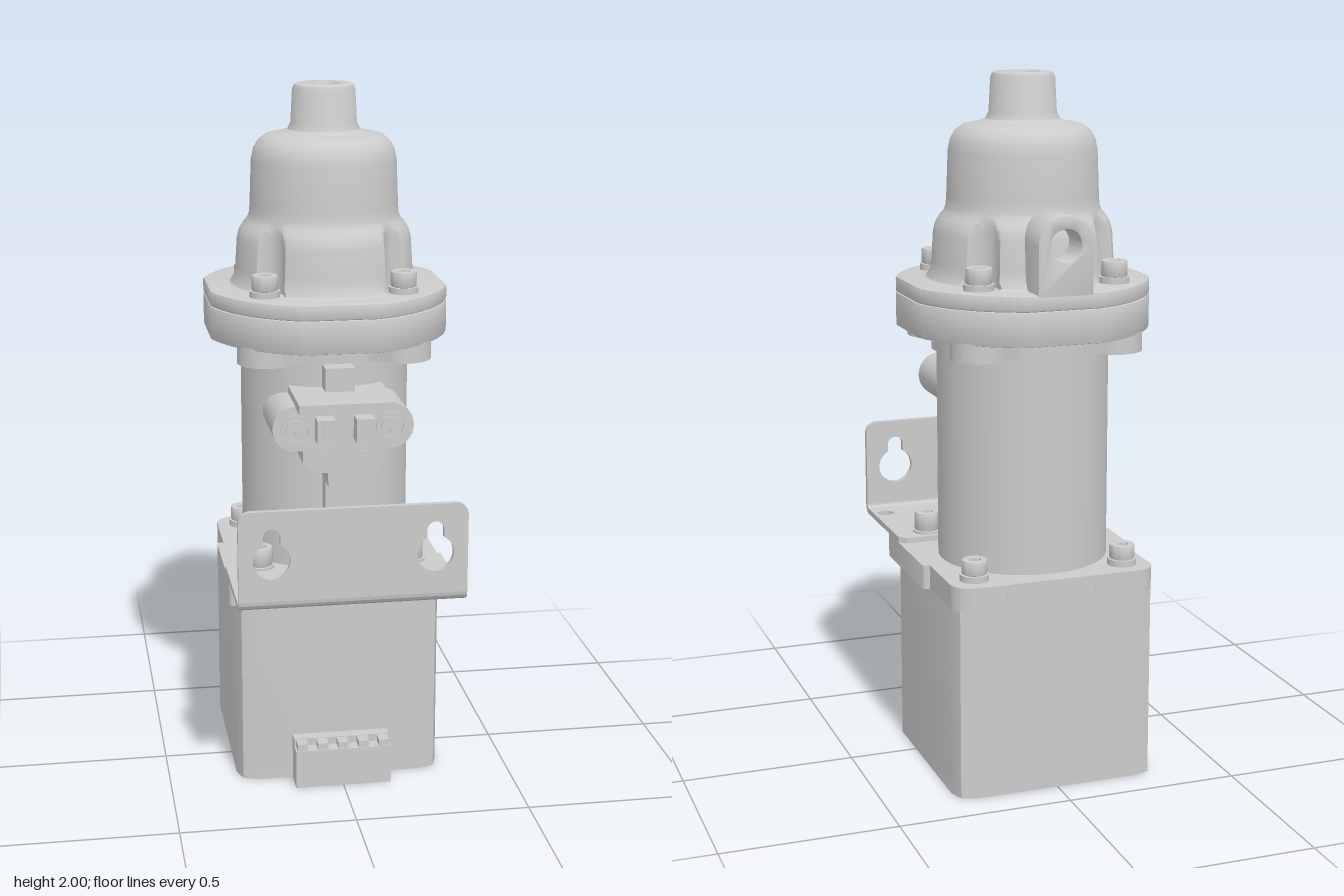
import * as THREE from 'three';
import { toCreasedNormals } from 'three/addons/utils/BufferGeometryUtils.js';

const AXIS_Z = -0.1; // vertical axis shared by motor, body and dome
const BOLT = 0.198; // offset of the dome bolts from the axis
const material = new THREE.MeshStandardMaterial({ color: 0xcccccc, side: THREE.DoubleSide });

export function createModel() {
  const model = new THREE.Group();

  const add = (name, geometry, x = 0, y = 0, z = 0, parent = model) => {
    const mesh = new THREE.Mesh(geometry, material);
    mesh.name = name;
    mesh.position.set(x, y, z);
    parent.add(mesh);
    return mesh;
  };
  // Box given by its limits
  const box = (name, x0, x1, y0, y1, z0, z1) =>
    add(name, new THREE.BoxGeometry(x1 - x0, y1 - y0, z1 - z0), (x0 + x1) / 2, (y0 + y1) / 2, (z0 + z1) / 2);
  const smooth = (g) => toCreasedNormals(g, 0.6);
  const polygon = (pts) => new THREE.Shape(pts.map((p) => new THREE.Vector2(...p)));
  const circle = (x, y, r) => new THREE.Path().absarc(x, y, r, 0, Math.PI * 2, true);
  // Extrusion along +z from 0 to depth, with an optional inset bevel
  const extrude = (shape, depth, b = 0) =>
    smooth(new THREE.ExtrudeGeometry(shape, {
      depth: depth - 2 * b, bevelEnabled: b > 0, bevelSize: b, bevelThickness: b,
      bevelOffset: -b, bevelSegments: 2, curveSegments: 24,
    }).translate(0, 0, b));
  // Horizontal slab: the shape's y becomes z, the slab fills y0..y1
  const slab = (name, shape, y0, y1, b = 0, z = 0) =>
    add(name, extrude(shape, y1 - y0, b).rotateX(Math.PI / 2), 0, y1, z);
  const roundedRect = (x0, x1, y0, y1, r) => {
    const s = new THREE.Shape();
    s.absarc(x1 - r, y1 - r, r, 0, Math.PI / 2);
    s.absarc(x0 + r, y1 - r, r, Math.PI / 2, Math.PI);
    s.absarc(x0 + r, y0 + r, r, Math.PI, Math.PI * 1.5);
    s.absarc(x1 - r, y0 + r, r, Math.PI * 1.5, Math.PI * 2);
    s.closePath();
    return s;
  };
  const corners = (d, fn) => [-1, 1].forEach((i) => [-1, 1].forEach((k) => fn(i * d, k * d + AXIS_Z)));
  const lathe = (pts, n = 48) => smooth(new THREE.LatheGeometry(pts.map((p) => new THREE.Vector2(...p)), n));

  // Socket head bolt standing on a washer
  const bolt = (name, x, y, z, r, h) => {
    const group = new THREE.Group();
    group.name = name;
    group.position.set(x, y, z);
    add('washer', new THREE.CylinderGeometry(r * 1.15, r * 1.15, h * 0.3, 28), 0, h * 0.15, 0, group);
    const head = new THREE.Shape().absarc(0, 0, r, 0, Math.PI * 2);
    head.holes.push(new THREE.Path(Array.from({ length: 6 }, (_, i) =>
      new THREE.Vector2(Math.sin(-i * Math.PI / 3), Math.cos(i * Math.PI / 3)).multiplyScalar(r * 0.52))));
    add('head', extrude(head, h * 0.7, 0.004).rotateX(Math.PI / 2), 0, h, 0, group);
    model.add(group);
  };

  // Motor housing with chamfered corners and screw holes underneath
  const c = 0.24;
  const e = 0.3;
  const motor = polygon([[-c, -e], [c, -e], [0.285, -0.285], [e, -c], [e, c], [0.285, 0.285], [c, e],
    [-c, e], [-0.285, 0.285], [-e, c], [-e, -c], [-0.285, -0.285]]);
  slab('motorHousing', motor, 0.025, 0.55, 0, AXIS_Z);
  const base = motor.clone();
  base.holes = [circle(0, 0, 0.1)];
  [-1, 1].forEach((i) => [-1, 1].forEach((k) => base.holes.push(circle(i * 0.235, k * 0.235, 0.02))));
  slab('motorBase', base, 0, 0.025, 0, AXIS_Z);
  add('bottomHub', lathe([[0, 0.012], [0.035, 0.012], [0.035, 0.003], [0.065, 0.003], [0.065, 0.015],
    [0.08, 0.015], [0.08, 0.006], [0.09, 0.006], [0.09, 0.025]]), 0, 0, AXIS_Z);

  // Plug at the foot of the motor
  box('motorPlug', -0.14, 0.14, 0, 0.115, 0.19, 0.275);
  box('plugBack', -0.14, 0.14, 0.11, 0.137, 0.19, 0.235);
  for (let i = 0; i < 5; i++) box('plugRib', -0.135 + i * 0.06, -0.105 + i * 0.06, 0.11, 0.135, 0.23, 0.272);

  // Mounting plate, wider at the front, with side screws
  slab('mountingPlate', roundedRect(-0.3, 0.3, -0.4, 0.19, 0.06), 0.55, 0.62);
  slab('mountingPlateFront', roundedRect(-0.32, 0.32, -0.155, 0.2, 0.012), 0.55, 0.62);
  for (const x of [-0.13, 0.13]) {
    const along = new THREE.CylinderGeometry(0.022, 0.022, 0.604, 20).rotateX(Math.PI / 2);
    add('plateScrew', along, x, 0.585, AXIS_Z);
  }
  corners(0.222, (x, z) => bolt('plateBolt', x, 0.62, z, 0.036, z > 0 ? 0.08 : 0.06));

  // Angle bracket: foot, bend and upright with keyholes
  const foot = new THREE.Shape();
  foot.moveTo(0.32, 0.09);
  foot.lineTo(0.32, 0.415);
  foot.lineTo(-0.32, 0.415);
  foot.lineTo(-0.32, 0.09);
  foot.lineTo(-0.3, 0.07);
  const a = Math.asin(0.17 / 0.265);
  foot.absarc(0, AXIS_Z, 0.265, Math.PI - a, a, true);
  foot.lineTo(0.3, 0.07);
  foot.holes.push(circle(0.283, 0.35, 0.024), circle(-0.283, 0.35, 0.024));
  slab('bracketFoot', foot, 0.62, 0.637);

  const bend = new THREE.Shape();
  bend.absarc(0, 0, 0.028, 0, Math.PI / 2);
  bend.absarc(0, 0, 0.011, Math.PI / 2, 0, true);
  add('bracketBend', extrude(bend, 0.64).rotateZ(-Math.PI / 2).rotateY(-Math.PI / 2), 0.32, 0.648, 0.414);

  const upright = new THREE.Shape();
  upright.moveTo(-0.32, 0.648);
  upright.lineTo(0.32, 0.648);
  upright.absarc(0.285, 0.873, 0.035, 0, Math.PI / 2);
  upright.absarc(-0.285, 0.873, 0.035, Math.PI / 2, Math.PI);
  for (const x of [-0.228, 0.228]) {
    const key = new THREE.Path();
    const k = Math.acos(0.024 / 0.052);
    key.absarc(x, 0.765, 0.052, k, Math.PI - k, true);
    key.absarc(x, 0.833, 0.024, Math.PI, 0, true);
    key.closePath();
    upright.holes.push(key);
  }
  add('bracketUpright', extrude(upright, 0.017), 0, 0, 0.425);

  // Cylindrical body with a cable rib at the front
  add('body', new THREE.CylinderGeometry(0.245, 0.245, 0.68, 72), 0, 0.95, AXIS_Z);
  box('cableRib', -0.042, 0.042, 0.62, 1.24, 0.1, 0.2);
  add('bodyCollar', new THREE.CylinderGeometry(0.25, 0.25, 0.05, 72), 0, 1.265, AXIS_Z);
  corners(BOLT, (x, z) => {
    const lug = new THREE.Shape();
    lug.absarc(0, 0.28, 0.08, 0, Math.PI);
    lug.lineTo(-0.13, 0.15);
    lug.lineTo(0.13, 0.15);
    const mesh = slab('boltLug', lug, 1.24, 1.295, 0, AXIS_Z);
    mesh.rotation.y = Math.atan2(x, z - AXIS_Z);
  });

  // Sensor connector on the front of the body
  for (const x of [-0.135, 0.135]) {
    add('connectorEar', new THREE.CylinderGeometry(0.065, 0.065, 0.27, 32).rotateX(Math.PI / 2), x, 1.085, 0.125);
    const ring = new THREE.Shape().absarc(0, 0, 0.042, 0, Math.PI * 2);
    ring.holes.push(circle(0, 0, 0.034));
    add('earRing', extrude(ring, 0.008), x, 1.085, 0.258);
    add('earScrew', new THREE.CylinderGeometry(0.028, 0.028, 0.01, 24).rotateX(Math.PI / 2), x, 1.085, 0.262);
    box('screwSlot', x - 0.018, x + 0.018, 1.081, 1.089, 0.26, 0.27);
    box('screwSlot', x - 0.004, x + 0.004, 1.067, 1.103, 0.26, 0.27);
  }
  box('connectorBody', -0.135, 0.135, 1.02, 1.15, 0.08, 0.258);
  box('connectorHood', -0.135, 0.135, 1.147, 1.172, 0.1, 0.335);
  const skirt = polygon([[-0.115, 1.03], [-0.115, 0.985], [-0.085, 0.955], [-0.045, 0.955], [-0.042, 0.91],
    [0.042, 0.91], [0.045, 0.955], [0.085, 0.955], [0.115, 0.985], [0.115, 1.03]]);
  add('connectorSkirt', extrude(skirt, 0.15), 0, 0, 0.11);
  for (const s of [-1, 1]) {
    box('socketBlock', s * 0.055 - 0.026, s * 0.055 + 0.026, 1.052, 1.12, 0.25, 0.31);
    for (const y of [1.07, 1.1])
      add('pin', new THREE.CylinderGeometry(0.008, 0.008, 0.006, 12).rotateX(Math.PI / 2), s * 0.055, y, 0.311);
    add('skirtScrew', new THREE.CylinderGeometry(0.017, 0.017, 0.006, 20).rotateX(Math.PI / 2), s * 0.058, 1.0, 0.261);
  }

  // Round double flange with four flats
  const R = 0.358;
  const flat = 0.343;
  const t = Math.acos(flat / R);
  const flange = new THREE.Shape();
  for (let i = 0; i < 4; i++) flange.absarc(0, 0, R, i * Math.PI / 2 + t, (i + 1) * Math.PI / 2 - t);
  flange.closePath();
  slab('lowerFlange', flange, 1.29, 1.385, 0.004, AXIS_Z);
  slab('upperFlange', flange, 1.385, 1.43, 0.007, AXIS_Z);

  // Stepped dome with scalloped pockets around the bolts
  const profile = [[0.29, 1.425], [0.272, 1.433], [0.262, 1.45], [0.257, 1.48], [0.252, 1.56], [0.246, 1.583],
    [0.235, 1.602], [0.222, 1.617], [0.216, 1.632], [0.214, 1.66], [0.209, 1.785], [0.203, 1.815], [0.19, 1.838],
    [0.17, 1.854], [0.145, 1.86], [0.122, 1.863], [0.104, 1.872], [0.095, 1.89], [0.09, 1.985], [0.084, 1.997],
    [0.078, 2], [0.046, 2], [0.04, 1.99], [0.04, 1.88], [0, 1.88]];
  const dome = new THREE.LatheGeometry(profile.map((p) => new THREE.Vector2(...p)), 160);
  const pos = dome.attributes.position;
  const d = BOLT * Math.SQRT2;
  const pocket = 0.056;
  for (let i = 0; i < pos.count; i++) {
    const x = pos.getX(i);
    const z = pos.getZ(i);
    const r = Math.hypot(x, z);
    const angle = Math.atan2(Math.abs(z), Math.abs(x)) - Math.PI / 4;
    const inside = pocket ** 2 - (d * Math.sin(angle)) ** 2;
    if (r < 0.2 || inside < 0) continue;
    const k = Math.min(r, d * Math.cos(angle) - Math.sqrt(inside)) / r;
    pos.setX(i, x * k);
    pos.setZ(i, z * k);
  }
  add('dome', smooth(dome), 0, 0, AXIS_Z);
  corners(BOLT, (x, z) => bolt('domeBolt', x, 1.428, z, 0.037, 0.064));

  // Port at the back with an open bore
  const port = new THREE.Shape();
  port.moveTo(-0.08, 1.42);
  port.lineTo(0.08, 1.42);
  port.absarc(0, 1.56, 0.08, 0, Math.PI);
  port.closePath();
  port.holes.push(circle(0, 1.56, 0.044));
  add('rearPort', extrude(port, 0.17, 0.005), 0, 0, -0.443);
  add('portBottom', new THREE.CylinderGeometry(0.05, 0.05, 0.02, 24).rotateX(Math.PI / 2), 0, 1.56, -0.33);

  return model;
}
